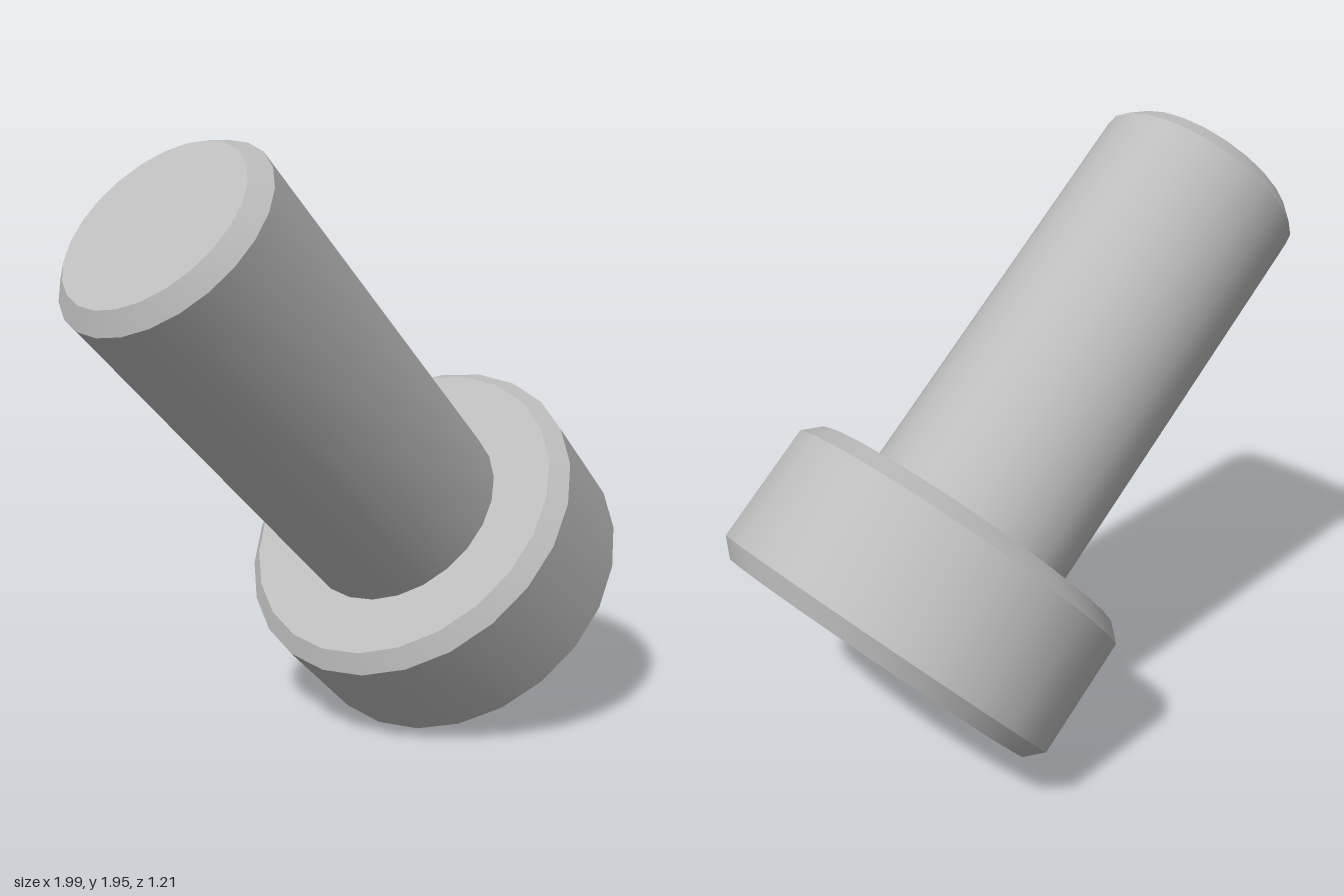
import * as THREE from 'three';
import { toCreasedNormals } from 'three/addons/utils/BufferGeometryUtils.js';

const SEGMENTS = 24;
const CREASE = 0.6;

// Sizes along the bolt's own axis, starting from the outer face of the head
const HEAD_R = 0.605, HEAD_H = 0.493, SHANK_R = 0.357, LENGTH = 1.927, CHAMFER = 0.052;
const RIM_R = 0.267, HEX_R = 0.258, SOCKET_DEPTH = 0.35;

function lathe(profile) {
  return new THREE.LatheGeometry(profile.map(([r, y]) => new THREE.Vector2(r, y)), SEGMENTS);
}

// Hexagonal recess with a 45 degree countersink: a lathed cup squeezed to six sides
function socketGeometry() {
  const geometry = lathe([[0, SOCKET_DEPTH], [HEX_R, SOCKET_DEPTH], [HEX_R, 0.01], [RIM_R, 0]]);
  const pos = geometry.attributes.position;
  const sector = Math.PI / 3;
  const apothem = HEX_R * Math.cos(sector / 2);
  for (let i = 0; i <= SEGMENTS; i++) {
    const phi = (i / SEGMENTS) * Math.PI * 2;
    const r = apothem / Math.cos((phi % sector) - sector / 2);
    const x = r * Math.sin(phi), z = r * Math.cos(phi);
    pos.setXYZ(i * 4 + 1, x, SOCKET_DEPTH, z);
    pos.setXYZ(i * 4 + 2, x, RIM_R - r, z);
  }
  return geometry;
}

export function createModel() {
  const steel = new THREE.MeshStandardMaterial({ color: 0xbcbcbc });
  steel.name = 'steel grey';

  const bolt = new THREE.Group();
  bolt.name = 'bolt';
  const add = (name, geometry) => {
    const mesh = new THREE.Mesh(toCreasedNormals(geometry, CREASE), steel);
    mesh.name = name;
    bolt.add(mesh);
  };

  // Cylindrical head, chamfered on both edges, open in the middle for the socket
  add('head', lathe([
    [RIM_R, 0], [HEAD_R - CHAMFER, 0], [HEAD_R, CHAMFER],
    [HEAD_R, HEAD_H - CHAMFER], [HEAD_R - CHAMFER, HEAD_H], [SHANK_R, HEAD_H],
  ]));

  // Plain shank with a chamfered tip
  add('shank', lathe([
    [SHANK_R, HEAD_H], [SHANK_R, LENGTH - CHAMFER], [SHANK_R - CHAMFER, LENGTH], [0, LENGTH],
  ]));

  add('hexSocket', socketGeometry());

  // Lean the bolt so it rests on the edge of its head
  bolt.rotation.z = 0.8185;
  bolt.position.set(0.62, 0.407, 0);

  const model = new THREE.Group();
  model.name = 'socketHeadBolt';
  model.add(bolt);
  return model;
}
